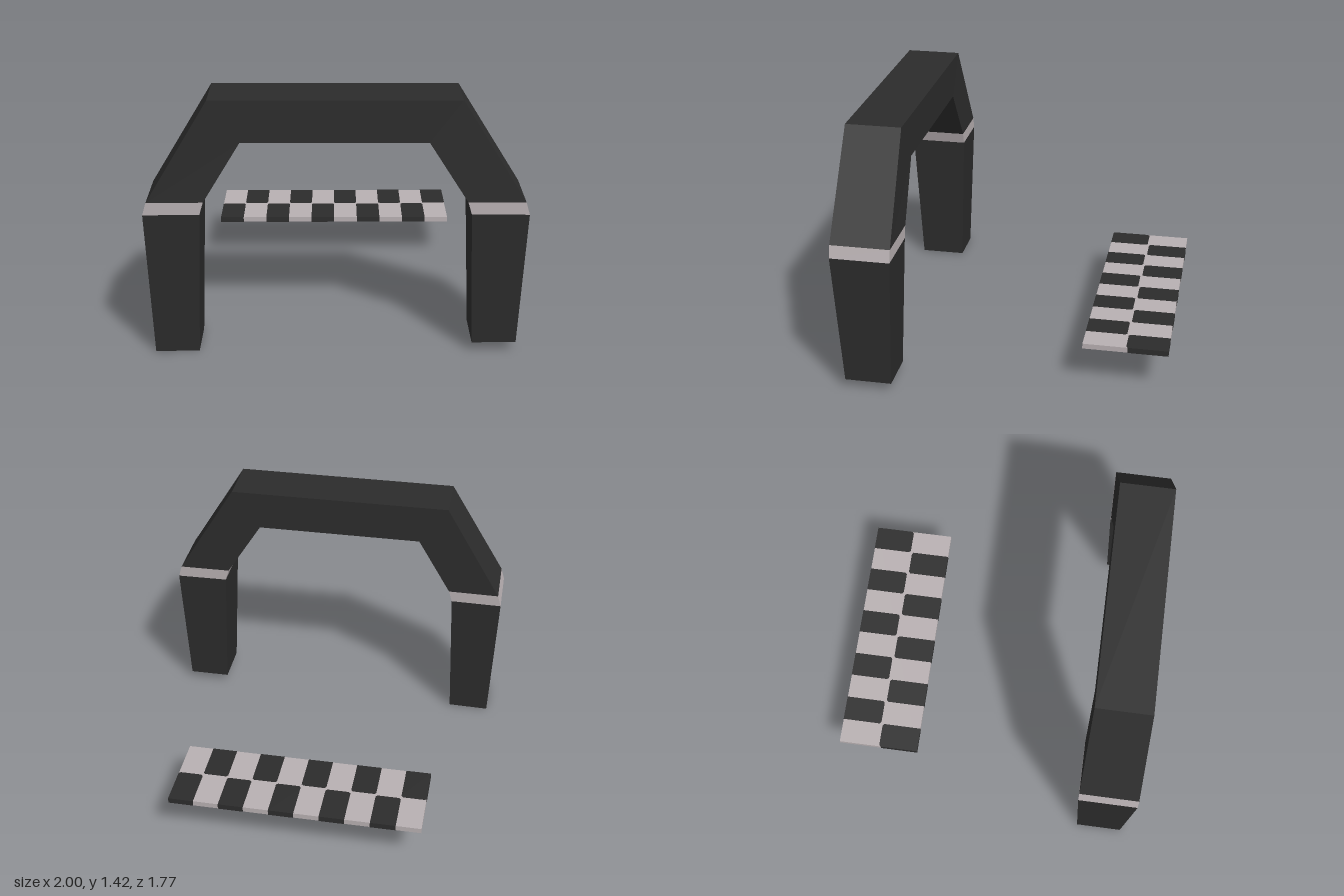
import * as THREE from 'three';

const dark = new THREE.MeshStandardMaterial({ color: 0x2c2c2c });
dark.name = 'charcoal';
const light = new THREE.MeshStandardMaterial({ color: 0xb8b0b2 });
light.name = 'pale grey';

// Rectangular section: outer and inner edge points in xy, back and front z
function ring(ox, oy, ix, iy, zb, zf) {
  return [[ox, oy, zf], [ix, iy, zf], [ix, iy, zb], [ox, oy, zb]];
}

// Flat-faced skin through successive rings, with optional end caps
function sweep(name, rings, material, capStart = false, capEnd = false) {
  const pos = [];
  const quad = (a, b, c, d) => pos.push(...a, ...b, ...c, ...a, ...c, ...d);
  for (let i = 0; i < rings.length - 1; i++) {
    const a = rings[i], b = rings[i + 1];
    for (let j = 0; j < 4; j++) {
      const k = (j + 1) % 4;
      quad(a[j], a[k], b[k], b[j]);
    }
  }
  if (capStart) quad(...[...rings[0]].reverse());
  if (capEnd) quad(...rings[rings.length - 1]);
  const geo = new THREE.BufferGeometry();
  geo.setAttribute('position', new THREE.Float32BufferAttribute(pos, 3));
  geo.computeVertexNormals();
  const mesh = new THREE.Mesh(geo, material);
  mesh.name = name;
  return mesh;
}

function makeArch() {
  const arch = new THREE.Group();
  arch.name = 'arch';
  // Sections from the right foot, over the top, to the left foot
  const s = [
    ring(-0.97, 0, -0.735, 0.005, 0.593, 0.853),
    ring(-1.0, 0.805, -0.705, 0.808, 0.558, 0.885),
    ring(-0.98, 0.873, -0.685, 0.875, 0.558, 0.885),
    ring(-0.65, 1.42, -0.49, 1.195, 0.568, 0.875),
    ring(0.64, 1.42, 0.475, 1.195, 0.568, 0.875),
    ring(0.98, 0.873, 0.68, 0.875, 0.558, 0.885),
    ring(1.0, 0.805, 0.7, 0.808, 0.558, 0.885),
    ring(0.967, 0.05, 0.73, 0.05, 0.593, 0.853),
  ];
  arch.add(
    sweep('rightLeg', s.slice(0, 2), dark, true),
    sweep('rightBand', s.slice(1, 3), light),
    sweep('topBeam', s.slice(2, 6), dark),
    sweep('leftBand', s.slice(5, 7), light),
    sweep('leftLeg', s.slice(6, 8), dark, false, true),
  );
  return arch;
}

function makeCheckeredStrip() {
  const strip = new THREE.Group();
  strip.name = 'checkeredStrip';
  const x0 = -0.713, cell = 0.1415, zMid = -0.65, depth = 0.235;
  const thick = 0.032, proud = 0.001, gap = 0.005, cut = 0.01;

  const base = new THREE.Mesh(
    new THREE.BoxGeometry(cell * 10 - 2 * proud, thick - 2 * proud, depth * 2 - 2 * proud), light);
  base.name = 'stripBase';
  base.position.set(x0 + cell * 5, 0.241, zMid);
  strip.add(base);

  // Dark tile with clipped corners along the middle line
  const w = cell / 2;
  const shape = new THREE.Shape([
    [-w, -depth], [w, -depth], [w, -gap - cut], [w - cut, -gap], [-w + cut, -gap], [-w, -gap - cut],
  ].map(([x, y]) => new THREE.Vector2(x, y)));
  const tileGeo = new THREE.ExtrudeGeometry(shape, { depth: thick, bevelEnabled: false });
  tileGeo.translate(0, 0, -thick / 2);
  tileGeo.rotateX(-Math.PI / 2);

  for (let i = 0; i < 10; i++) {
    const tile = new THREE.Mesh(tileGeo, dark);
    tile.name = 'darkTile';
    tile.position.set(x0 + cell * (i + 0.5), 0.241, zMid);
    if (i % 2) tile.rotation.y = Math.PI; // odd columns lie in the back row
    strip.add(tile);
  }
  return strip;
}

export function createModel() {
  const model = new THREE.Group();
  model.name = 'finishArch';
  model.add(makeArch(), makeCheckeredStrip());
  return model;
}
